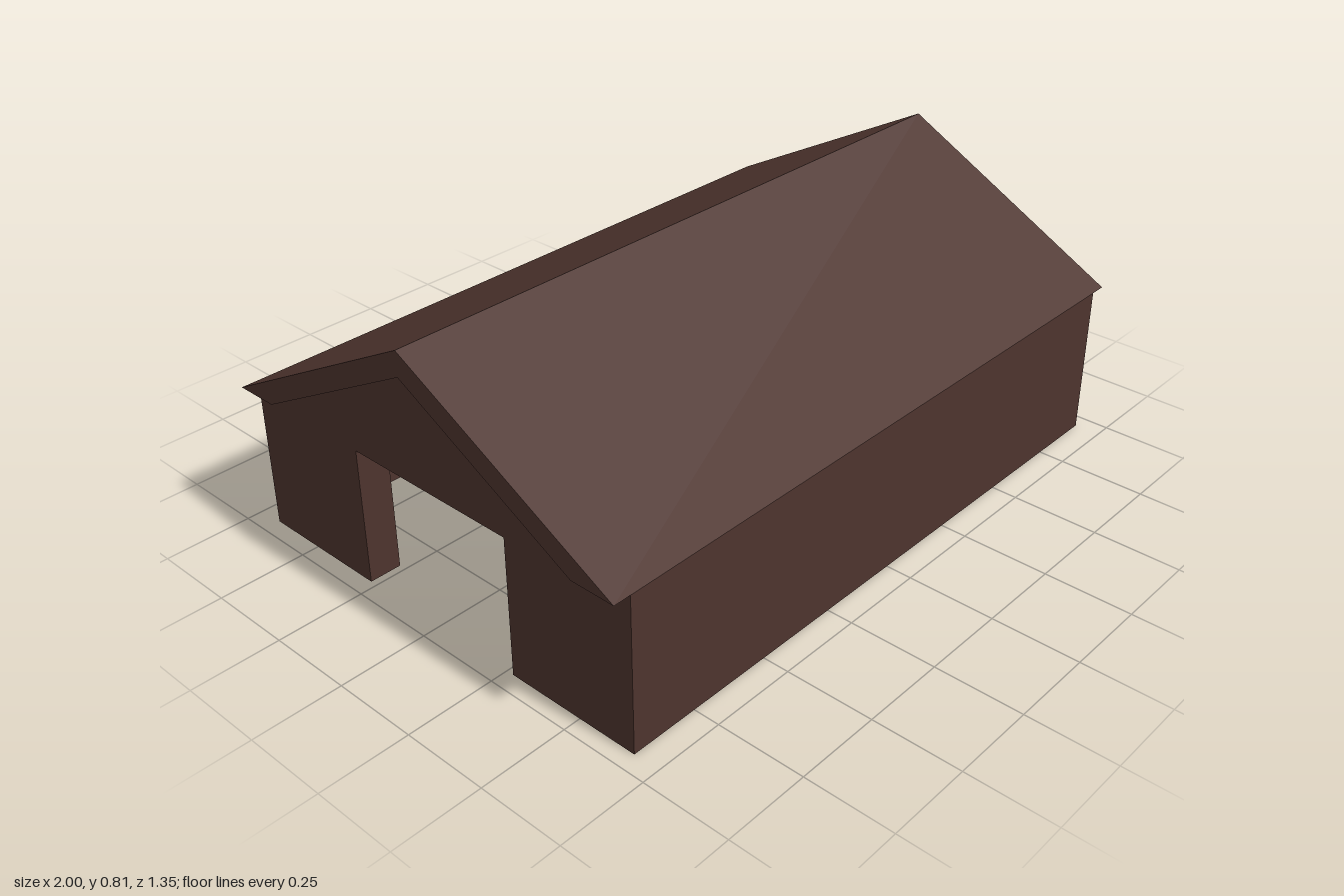
import * as THREE from 'three';

const HALF = 0.675, EAVE = 0.445, WALL_X = 0.95, GABLE_T = 0.094, SIDE_T = 0.072;

// Extrude a z-y outline along x, centred on the given x
function extrudeAlongX(points, length, x) {
  const shape = new THREE.Shape(points.map(([z, y]) => new THREE.Vector2(z, y)));
  const geo = new THREE.ExtrudeGeometry(shape, { depth: length, bevelEnabled: false });
  geo.translate(0, 0, -length / 2);
  geo.rotateY(Math.PI / 2);
  geo.translate(x, 0, 0);
  return geo;
}

export function createModel() {
  const group = new THREE.Group();
  const brown = new THREE.MeshStandardMaterial({ color: 0x4e342e });
  brown.name = 'dark brown wood';

  const add = (name, geo) => {
    const mesh = new THREE.Mesh(geo, brown);
    mesh.name = name;
    group.add(mesh);
  };

  // Pitched roof with level eave undersides, overhanging both gables
  add('roof', extrudeAlongX([
    [-HALF, EAVE], [-0.545, EAVE], [0, 0.735], [0.545, EAVE], [HALF, EAVE], [0, 0.805],
  ], 2, 0));

  for (const side of [1, -1]) {
    const label = side > 0 ? 'left' : 'right';

    // Gable wall with a wide open doorway
    add(label + 'GableWall', extrudeAlongX([
      [-HALF, 0], [-0.272, 0], [-0.272, 0.4], [0.272, 0.4], [0.272, 0], [HALF, 0],
      [HALF, EAVE], [0.545, EAVE], [0, 0.735], [-0.545, EAVE], [-HALF, EAVE],
    ], GABLE_T, side * (WALL_X - GABLE_T / 2)));

    // Long wall between the gables
    const wall = new THREE.BoxGeometry(2 * (WALL_X - GABLE_T), EAVE, SIDE_T);
    wall.translate(0, EAVE / 2, side * (HALF - SIDE_T / 2));
    add(side > 0 ? 'frontWall' : 'backWall', wall);
  }

  return group;
}
